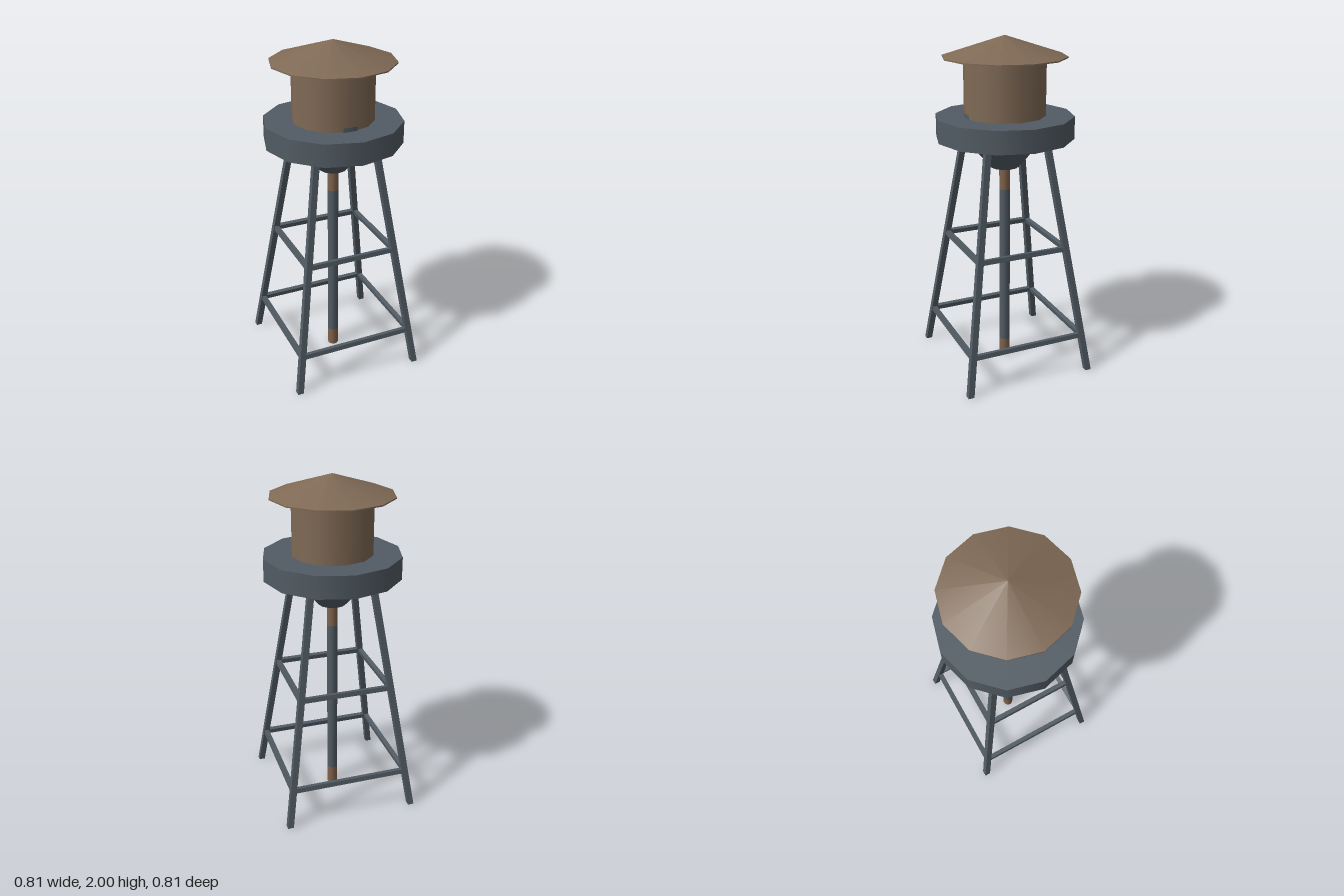
import * as THREE from 'three';

export function createModel() {
  const model = new THREE.Group();
  model.name = 'waterTower';

  const material = (name, color) => {
    const m = new THREE.MeshStandardMaterial({ color });
    m.name = name;
    return m;
  };
  const brown = material('brown', 0x806a56);
  const slate = material('slate', 0x525c64);
  const rust = material('rust', 0x80624b);

  const add = (name, geometry, mat, parent = model) => {
    const mesh = new THREE.Mesh(geometry, mat);
    mesh.name = name;
    parent.add(mesh);
    return mesh;
  };
  // Upright drum or cone between two heights
  const drum = (name, rTop, rBottom, y0, y1, sides, mat, open = false) => {
    const geometry = new THREE.CylinderGeometry(rTop, rBottom, y1 - y0, sides, 1, open);
    return add(name, geometry.translate(0, (y0 + y1) / 2, 0), mat);
  };

  // Roof with a thin rim
  drum('roofCone', 0, 0.358, 1.885, 2, 12, brown, true);
  drum('roofRim', 0.358, 0.358, 1.878, 1.885, 12, brown);

  // Tank, balcony ring and funnel
  drum('tank', 0.237, 0.237, 1.54, 1.88, 12, brown, true);
  drum('balcony', 0.403, 0.403, 1.417, 1.549, 12, slate);
  drum('funnel', 0.237, 0.083, 1.242, 1.42, 12, slate);

  // Worn patch at the front foot of the tank
  const patch = new THREE.CylinderGeometry(0.238, 0.238, 0.024, 2, 1, true, -0.18, 0.36);
  add('tankPatch', patch.translate(0, 1.561, 0), slate);

  // Central pipe with rusty ends
  drum('pipeFoot', 0.032, 0.032, 0, 0.11, 12, rust);
  drum('pipe', 0.032, 0.032, 0.11, 1.105, 12, slate, true);
  drum('pipeTop', 0.032, 0.032, 1.105, 1.25, 12, rust, true);

  // Distance of a leg's centre from the middle planes at height y
  const legTop = 1.43;
  const lean = 0.205 / 1.42;
  const legOffset = (y) => 0.385 - lean * y;

  // Four square legs, sheared inwards so feet and tops stay level
  for (const sx of [-1, 1]) {
    for (const sz of [-1, 1]) {
      const geometry = new THREE.BoxGeometry(0.036, legTop, 0.036).translate(0, legTop / 2, 0);
      const p = geometry.attributes.position;
      for (let i = 0; i < p.count; i++) {
        const offset = legOffset(p.getY(i));
        p.setX(i, p.getX(i) + sx * offset);
        p.setZ(i, p.getZ(i) + sz * offset);
      }
      geometry.computeVertexNormals();
      add('leg', geometry, slate);
    }
  }

  // Two levels of cross braces, tilted with the legs
  for (const y of [0.228, 0.776]) {
    const ring = new THREE.Group();
    ring.name = 'braceRing';
    model.add(ring);
    const offset = legOffset(y);
    for (let i = 0; i < 4; i++) {
      const geometry = new THREE.BoxGeometry(offset * 2, 0.028, 0.027);
      geometry.rotateX(-Math.atan(lean)).translate(0, y, offset);
      add('brace', geometry.rotateY(i * Math.PI / 2), slate, ring);
    }
  }

  return model;
}
